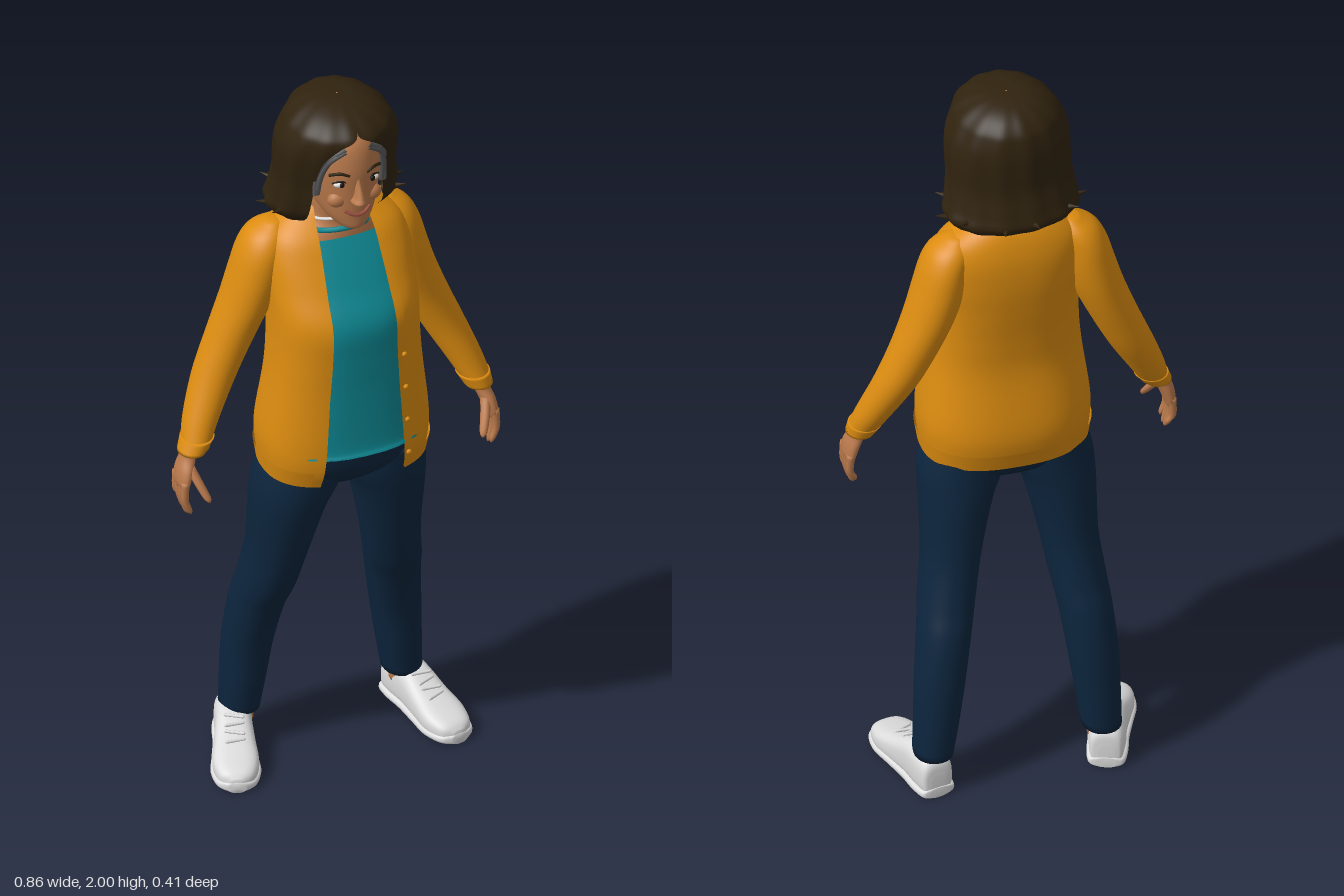
import * as THREE from 'three';
import { mergeVertices } from 'three/addons/utils/BufferGeometryUtils.js';

const mat = (name, color, side = THREE.FrontSide) =>
  Object.assign(new THREE.MeshStandardMaterial({ color, side }), { name });

// Smooth skin over oval rings. Row: [centre x, y, centre z, half width, half depth, front gap].
// p squares the oval; band [side, width] keeps only a strip beside the gap.
function loft(rows, { seg = 36, p = 1, grow = 0, band, caps = true, ripple, steps = 5 } = {}) {
  const full = rows.map(r => (r.length < 6 ? [...r, 0] : r));
  const curve = new THREE.CubicInterpolant(full.map((_, i) => i), full.flat(), 6, new Float32Array(6));
  const n = (rows.length - 1) * steps, pos = [], index = [];
  const angle = (g, rx) => Math.asin(Math.min(1, Math.pow(Math.max(0, g) / rx, 1 / p)));
  const pow = v => Math.sign(v) * Math.pow(Math.abs(v), p);
  for (let i = 0; i <= n; i++) {
    const [cx, y, cz, w, d, g] = curve.evaluate(i / steps);
    const rx = Math.max(w, 0.001) + grow, rz = Math.max(d, 0.001) + grow;
    const a = angle(g, rx);
    let from = a, to = 2 * Math.PI - a;
    if (band) {
      const b = angle(g + band[1], rx);
      [from, to] = band[0] > 0 ? [a, b] : [-b, -a];
    }
    for (let j = 0; j <= seg; j++) {
      const t = from + (to - from) * j / seg, k = ripple ? ripple(t, y) : 1;
      pos.push(cx + rx * k * pow(Math.sin(t)), y, cz + rz * k * pow(Math.cos(t)));
      if (i < n && j < seg) {
        const q = i * (seg + 1) + j, u = q + seg + 1;
        index.push(q, q + 1, u + 1, q, u + 1, u);
      }
    }
  }
  if (caps) for (const [i, r] of [[0, full[0]], [n, full.at(-1)]]) {
    const c = pos.length / 3;
    pos.push(r[0], r[1], r[2]);
    for (let j = 0; j < seg; j++) {
      const q = i * (seg + 1) + j;
      i ? index.push(c, q, q + 1) : index.push(c, q + 1, q);
    }
  }
  let geo = new THREE.BufferGeometry();
  geo.setAttribute('position', new THREE.Float32BufferAttribute(pos, 3));
  geo.setIndex(index);
  geo = mergeVertices(geo, 1e-5);
  geo.computeVertexNormals();
  return geo;
}

// Row from front and back depth instead of centre and half depth
const fb = (cx, y, rx, front, back, gap = 0) => [cx, y, (front + back) / 2, rx, (front - back) / 2, gap];

export function createModel() {
  const root = new THREE.Group();
  root.name = 'standingWoman';
  const M = {
    knit: mat('mustard knit', 0xdc8c10, THREE.DoubleSide), shirt: mat('teal shirt', 0x0e8792, THREE.DoubleSide),
    denim: mat('navy denim', 0x0d253d), hair: mat('dark brown hair', 0x30230f, THREE.DoubleSide),
    skin: mat('skin', 0xb9794c), shoe: mat('white canvas', 0xdcdcdc), eye: mat('eye white', 0xf0eeea),
    dark: mat('dark iris', 0x1c1410), grey: mat('grey strands', 0x5a5a5c), lip: mat('lips', 0x9c5040),
  };
  const add = (name, geo, m, parent = root) => {
    const mesh = new THREE.Mesh(geo, m);
    mesh.name = name;
    parent.add(mesh);
    return mesh;
  };
  const ball = (name, m, x, y, z, sx, sy, sz, parent) => {
    const b = add(name, new THREE.SphereGeometry(1, 20, 14), m, parent);
    b.position.set(x, y, z);
    b.scale.set(sx, sy, sz);
    return b;
  };
  const tube = (name, m, pts, r) => add(name,
    new THREE.TubeGeometry(new THREE.CatmullRomCurve3(pts.map(q => new THREE.Vector3(...q))), 20, r, 6), m);

  // Cardigan and shirt
  const C = 0.015;
  const torso = [
    fb(C, 0.93, 0.208, 0.172, -0.125, 0.112), fb(C, 0.98, 0.215, 0.188, -0.138, 0.108),
    fb(C, 1.05, 0.216, 0.192, -0.14, 0.103), fb(C, 1.2, 0.198, 0.188, -0.117, 0.094),
    fb(C, 1.3, 0.19, 0.19, -0.12, 0.088), fb(C, 1.4, 0.188, 0.188, -0.132, 0.085),
    fb(C, 1.48, 0.19, 0.142, -0.14, 0.082), fb(C, 1.55, 0.188, 0.1, -0.14, 0.078),
    fb(C, 1.6, 0.17, 0.068, -0.132, 0.075), fb(C, 1.64, 0.125, 0.03, -0.118, 0.07),
    fb(C, 1.665, 0.085, 0.01, -0.1, 0.065),
  ];
  add('cardigan', loft(torso, { p: 0.82, seg: 56, caps: false }), M.knit);
  add('cardiganHem', loft(torso.slice(0, 2), { p: 0.82, seg: 56, grow: 0.005, caps: false }), M.knit);
  for (const s of [-1, 1])
    add('cardiganFrontBand', loft(torso, { p: 0.82, seg: 5, grow: 0.005, band: [s, 0.022], caps: false }), M.knit);
  for (let i = 0; i < 4; i++)
    ball('button', M.knit, C + 0.117 - i * 0.004, 0.99 + i * 0.1, 0.183, 0.007, 0.007, 0.005);
  const shirtRows = torso.slice(2, 9).map(([x, y, z, w, d]) => [x, y, z, w - 0.012, d - 0.002]);
  shirtRows.unshift(fb(C, 1.02, 0.2, 0.199, -0.12));
  add('shirt', loft(shirtRows, { p: 0.82, caps: false }), M.shirt);
  const collar = add('shirtNeckline', new THREE.TorusGeometry(0.068, 0.007, 8, 32), M.shirt);
  collar.position.set(C, 1.605, 0.012);
  collar.rotation.x = 1.15;

  // Trousers
  add('trouserHips', loft([
    fb(C, 0.86, 0.09, 0.07, -0.06), fb(C, 0.89, 0.17, 0.105, -0.1), fb(C, 0.93, 0.198, 0.14, -0.12),
    fb(C, 0.98, 0.2, 0.155, -0.126), fb(C, 1.05, 0.19, 0.155, -0.12)], { p: 0.9 }), M.denim);
  // Legs: [mirrored x, shared x shift, y, half width, front z, back z]
  const legRows = [
    [0.217, 0.026, 0.105, 0.05, -0.08, -0.2], [0.208, 0.024, 0.2, 0.056, -0.066, -0.2],
    [0.197, 0.022, 0.32, 0.063, -0.05, -0.194], [0.181, 0.019, 0.45, 0.067, -0.01, -0.176],
    [0.168, 0.017, 0.53, 0.07, 0.03, -0.152], [0.15, 0.014, 0.65, 0.074, 0.07, -0.126],
    [0.132, 0.013, 0.8, 0.092, 0.112, -0.117], [0.114, 0.015, 0.88, 0.107, 0.127, -0.112],
    [0.1, 0.015, 0.96, 0.1, 0.13, -0.11],
  ];
  // Sleeves: [x, y, z, half width, half depth]
  const armRows = [
    [0.378, 1.03, 0.008, 0.036, 0.041], [0.35, 1.1, -0.018, 0.046, 0.049], [0.304, 1.2, -0.045, 0.056, 0.058],
    [0.259, 1.3, -0.054, 0.061, 0.066], [0.218, 1.4, -0.053, 0.065, 0.077], [0.194, 1.48, -0.05, 0.065, 0.081],
    [0.178, 1.55, -0.048, 0.06, 0.076], [0.162, 1.595, -0.048, 0.05, 0.058], [0.145, 1.625, -0.048, 0.02, 0.025],
  ];
  // Shoe: [length, half width, top]
  const shoeRows = [[-0.15, 0.02, 0.06], [-0.142, 0.04, 0.1], [-0.1, 0.047, 0.118], [-0.045, 0.047, 0.115],
    [0.02, 0.053, 0.088], [0.08, 0.058, 0.068], [0.13, 0.044, 0.052], [0.15, 0.016, 0.035]];
  const lengthwise = (top, wide) => loft(shoeRows.map(([t, w, h]) => {
    const hh = top || h;
    return [0, t * (top ? 1.02 : 1), -hh / 2 - 0.002, w + wide, hh / 2];
  }), { p: 0.7, seg: 28 }).rotateX(Math.PI / 2);

  for (const s of [1, -1]) {
    const side = s > 0 ? 'left' : 'right', X = (x, shift = 0.008) => s * x + shift;
    add(side + 'TrouserLeg', loft(legRows.map(([x, o, y, w, f, b]) => fb(X(x, o), y, w, f, b)), { p: 0.93 }), M.denim);
    add(side + 'Ankle', loft([fb(X(0.218, 0.026), 0.07, 0.036, -0.095, -0.18),
      fb(X(0.217, 0.026), 0.12, 0.036, -0.095, -0.18)], { seg: 20 }), M.skin);
    add(side + 'Sleeve', loft(armRows.map(([x, ...r]) => [X(x), ...r])), M.knit);
    add(side + 'Cuff', loft([[X(0.383, 0.004), 1.022, 0.01, 0.036, 0.041],
      [X(0.368), 1.055, 0, 0.043, 0.046]], { seg: 24 }), M.knit);

    // Hand with four fingers and a thumb
    const hand = new THREE.Group();
    hand.name = side + 'Hand';
    root.add(hand);
    add('palm', loft([[X(0.412, 0), 0.935, 0.026, 0.012, 0.036], [X(0.411, 0), 0.955, 0.026, 0.017, 0.041],
      [X(0.403, 0), 0.985, 0.022, 0.02, 0.037], [X(0.391, 0), 1.015, 0.014, 0.021, 0.026],
      [X(0.38, 0), 1.05, 0.006, 0.024, 0.028]], { seg: 20 }), M.skin, hand);
    for (let i = 0; i < 4; i++) {
      const z = -0.004 + i * 0.02, tip = [0.878, 0.86, 0.856, 0.866][i];
      add('finger', loft([[X(0.402, 0), tip, z + 0.004, 0.003, 0.003], [X(0.406, 0), tip + 0.012, z + 0.003, 0.008, 0.008],
        [X(0.416, 0), 0.91, z + 0.002, 0.0095, 0.0095], [X(0.414, 0), 0.96, z, 0.011, 0.011]], { seg: 12 }), M.skin, hand);
    }
    add('thumb', loft([[X(0.366, 0), 0.913, 0.094, 0.004, 0.004], [X(0.37, 0), 0.925, 0.088, 0.01, 0.01],
      [X(0.384, 0), 0.96, 0.064, 0.012, 0.014], [X(0.396, 0), 0.995, 0.035, 0.012, 0.016]], { seg: 12 }), M.skin, hand);

    // Shoe, toes turned out
    const shoe = new THREE.Group();
    shoe.name = side + 'Shoe';
    shoe.position.set(s > 0 ? 0.273 : -0.237, 0, s > 0 ? -0.05 : -0.057);
    shoe.rotation.y = s > 0 ? 0.2 : -0.34;
    root.add(shoe);
    add('upper', lengthwise(0, 0), M.shoe, shoe);
    add('sole', lengthwise(0.028, 0.005), M.shoe, shoe);
    for (let i = 0; i < 4; i++) {
      const lace = add('lace', new THREE.CapsuleGeometry(0.004, 0.045, 4, 8), M.shoe, shoe);
      lace.position.set(0, 0.112 - i * 0.0095, -0.022 + i * 0.022);
      lace.rotation.set(0, (i % 2 ? 1 : -1) * 0.25, Math.PI / 2);
    }
  }

  // Neck and head
  const H = 0.01;
  add('neck', loft([fb(C, 1.55, 0.13, 0.06, -0.11), fb(C, 1.6, 0.095, 0.055, -0.095),
    fb(C, 1.635, 0.064, 0.05, -0.08), fb(H, 1.68, 0.056, 0.06, -0.07), fb(H, 1.73, 0.056, 0.06, -0.07)]), M.skin);
  const beads = add('necklace', new THREE.TorusGeometry(0.064, 0.004, 6, 32), M.eye);
  beads.position.set(C, 1.632, -0.002);
  beads.rotation.x = 1.2;
  add('head', loft([
    fb(H, 1.672, 0.018, 0.135, 0.09), fb(H, 1.682, 0.042, 0.146, 0.03), fb(H, 1.71, 0.068, 0.148, -0.03),
    fb(H, 1.75, 0.085, 0.15, -0.08), fb(H, 1.8, 0.094, 0.152, -0.1), fb(H, 1.86, 0.098, 0.152, -0.11),
    fb(H, 1.92, 0.09, 0.135, -0.1), fb(H, 1.96, 0.05, 0.09, -0.06)]), M.skin);
  add('nose', loft([[H - 0.002, 1.757, 0.145, 0.008, 0.016], [H - 0.002, 1.768, 0.152, 0.019, 0.029],
    [H, 1.785, 0.15, 0.013, 0.026], [H, 1.82, 0.142, 0.009, 0.016], [H, 1.845, 0.14, 0.008, 0.01]], { seg: 16 }), M.skin);
  for (const s of [-1, 1]) {
    ball('eye', M.eye, H + s * 0.043, 1.818, 0.133, 0.017, 0.0095, 0.012);
    ball('iris', M.dark, H + s * 0.041, 1.818, 0.142, 0.007, 0.008, 0.005);
    tube('upperLid', M.dark, [[H + s * 0.024, 1.82, 0.144], [H + s * 0.042, 1.829, 0.142], [H + s * 0.062, 1.82, 0.129]], 0.0025);
    tube('eyebrow', M.hair, [[H + s * 0.022, 1.845, 0.148], [H + s * 0.045, 1.852, 0.141], [H + s * 0.068, 1.843, 0.123]], 0.004);
    ball('cheek', M.skin, H + s * 0.045, 1.765, 0.122, 0.026, 0.022, 0.02);
  }
  tube('mouth', M.lip, [[H - 0.033, 1.737, 0.141], [H - 0.016, 1.728, 0.15], [H, 1.725, 0.152],
    [H + 0.016, 1.728, 0.15], [H + 0.033, 1.737, 0.141]], 0.005);

  // Bobbed hair, open at the face
  const hairRows = [
    fb(H, 1.655, 0.15, 0.06, -0.13, 0.1), fb(H, 1.685, 0.172, 0.085, -0.158, 0.1), fb(H, 1.72, 0.166, 0.1, -0.152, 0.098),
    fb(H, 1.78, 0.158, 0.112, -0.138, 0.093), fb(H, 1.84, 0.158, 0.13, -0.138, 0.09), fb(H, 1.89, 0.153, 0.148, -0.138, 0.078),
    fb(H, 1.93, 0.138, 0.158, -0.132, 0.045), fb(H, 1.955, 0.122, 0.15, -0.122, 0.004), fb(H, 1.98, 0.09, 0.115, -0.095),
    fb(H, 1.995, 0.05, 0.065, -0.055), fb(H, 2.0, 0.002, 0.01, 0.005),
  ];
  add('hair', loft(hairRows, { seg: 96, caps: false, ripple: (a, y) => 1 + 0.014 * Math.sin(13 * a + 5 * y) }), M.hair);
  for (const s of [-1, 1]) for (const k of [0, 1])
    tube('greyStrand', M.grey, [[H + s * 0.03, 1.925 - k * 0.008, 0.142], [H + s * (0.074 - k * 0.006), 1.885, 0.122 + k * 0.006],
      [H + s * (0.09 - k * 0.008), 1.83, 0.095 + k * 0.01], [H + s * (0.092 - k * 0.006), 1.77, 0.09]], 0.007);
  // Flicked tips: [angle from front, y]
  for (const [a, y] of [[1.1, 1.69], [1.6, 1.675], [2.2, 1.7], [2.85, 1.685], [3.3, 1.695], [4.0, 1.7], [4.6, 1.68], [5.1, 1.69]]) {
    const out = new THREE.Vector3(Math.sin(a), 0.25, Math.cos(a)).normalize();
    const flick = add('hairFlick', new THREE.ConeGeometry(0.016, 0.065, 10), M.hair);
    flick.position.set(H + 0.166 * Math.sin(a), y, -0.03 + 0.125 * Math.cos(a));
    flick.quaternion.setFromUnitVectors(new THREE.Vector3(0, 1, 0), out);
  }
  return root;
}
